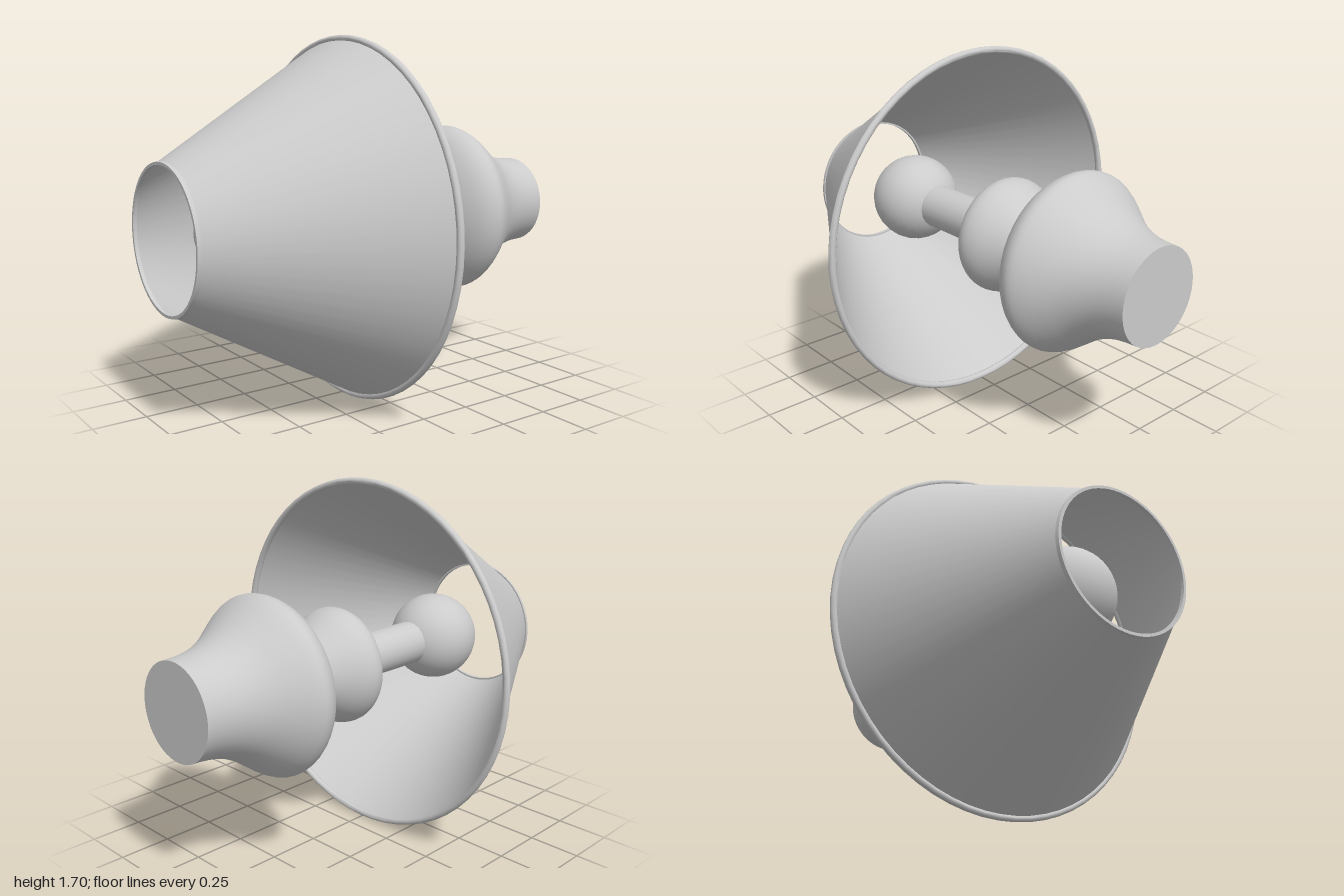
import * as THREE from 'three';
import { toCreasedNormals } from 'three/addons/utils/BufferGeometryUtils.js';

const material = new THREE.MeshStandardMaterial({ color: 0xcccccc });
const thinMaterial = new THREE.MeshStandardMaterial({ color: 0xcccccc, side: THREE.DoubleSide });

// Turned part; points are [position along the lamp axis, radius]
function turned(name, points, segments, mat = material) {
  const profile = points.map(([along, radius]) => new THREE.Vector2(radius, along));
  const geometry = toCreasedNormals(new THREE.LatheGeometry(profile, segments), 0.6);
  const mesh = new THREE.Mesh(geometry, mat);
  mesh.name = name;
  return mesh;
}

// Smooth run of profile points through a few guide points
function smooth(points, count) {
  const curve = new THREE.SplineCurve(points.map(([a, r]) => new THREE.Vector2(a, r)));
  return curve.getPoints(count).map((p) => [p.x, p.y]);
}

// Rounded ring closed around its own cross-section
function rim(name, along, radius, halfWidth, halfDepth) {
  const section = [];
  for (let i = 0; i <= 12; i++) {
    const t = -(i / 12) * Math.PI * 2;
    section.push([along - Math.cos(t) * halfWidth, radius - Math.sin(t) * halfDepth]);
  }
  return turned(name, section, 64, thinMaterial);
}

export function createModel() {
  const lamp = new THREE.Group();
  lamp.name = 'tableLamp';

  // Turned base: small upper lobe, sharp waist, large lower lobe, flat foot
  const upper = smooth([[0.01, 0.17], [0.018, 0.215], [0.045, 0.257], [0.09, 0.275],
    [0.145, 0.264], [0.2, 0.235], [0.27, 0.188], [0.34, 0.14]], 20);
  const lower = smooth([[0.34, 0.14], [0.375, 0.235], [0.42, 0.325], [0.47, 0.385], [0.53, 0.412],
    [0.58, 0.395], [0.65, 0.345], [0.73, 0.288], [0.82, 0.245], [0.91, 0.224], [1, 0.218]], 28);
  lamp.add(turned('base', [[0.01, 0], ...upper, ...lower.slice(1), [1, 0]], 48));

  // Stem and bulb inside the shade
  lamp.add(turned('stem', [[-0.5, 0], [-0.5, 0.107], [0.03, 0.107], [0.03, 0]], 20));
  const bulb = new THREE.Mesh(new THREE.SphereGeometry(0.218, 32, 20), material);
  bulb.name = 'bulb';
  bulb.position.y = -0.62;
  lamp.add(bulb);

  // Open conical shade with a rim at each end
  lamp.add(turned('shade', [[-0.99, 0.32], [-0.1, 0.832]], 64, thinMaterial));
  lamp.add(turned('narrowRim', [[-1, 0.315], [-1, 0.328], [-0.983, 0.331], [-0.983, 0.315], [-1, 0.315]],
    64, thinMaterial));
  lamp.add(rim('wideRim', -0.099, 0.834, 0.017, 0.016));

  // Lay the lamp on its side: foot to +x, resting on the wide rim
  lamp.rotation.z = -Math.PI / 2;
  lamp.position.y = 0.85;

  const model = new THREE.Group();
  model.name = 'lamp';
  model.add(lamp);
  return model;
}
